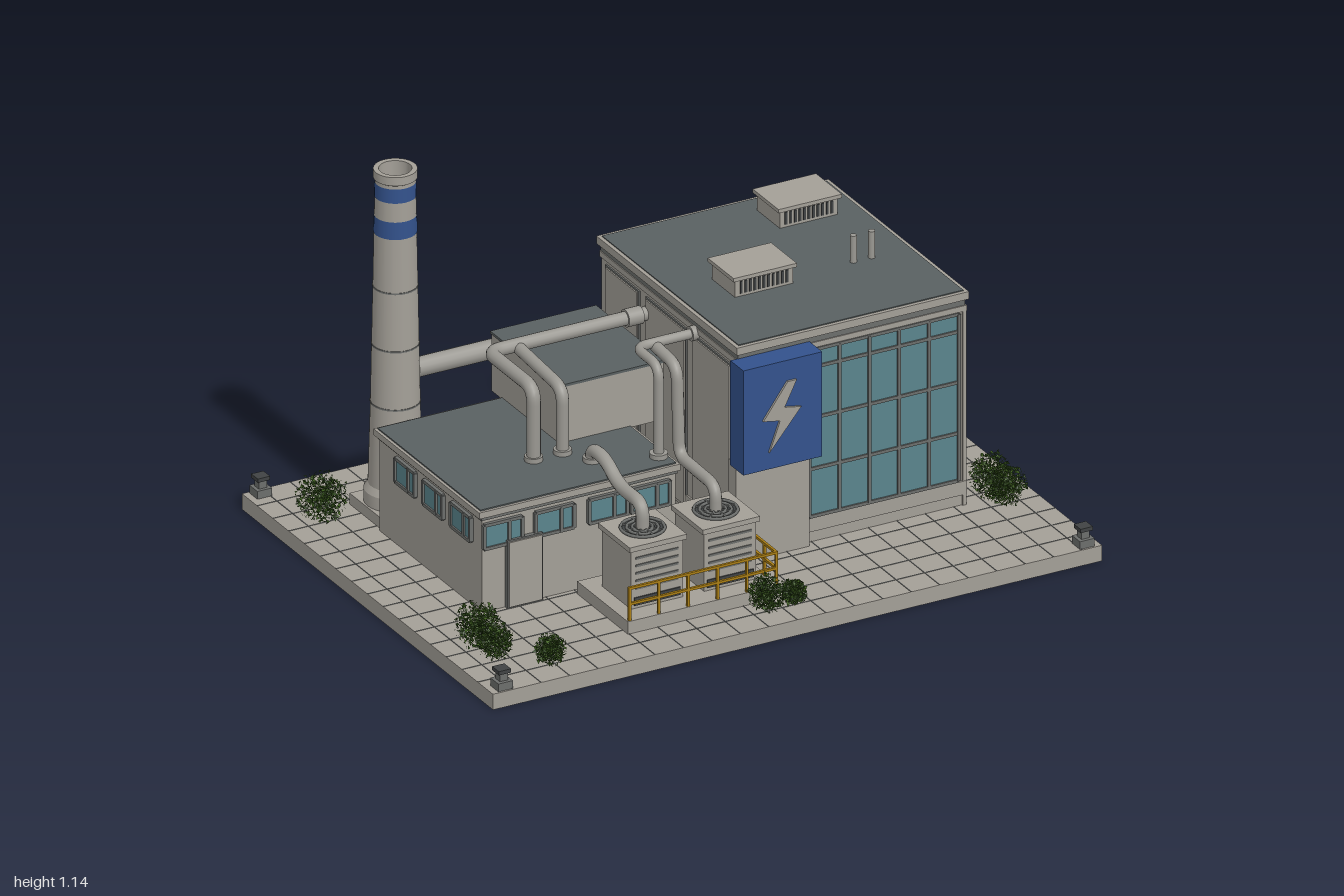
import * as THREE from 'three';
import { toCreasedNormals } from 'three/addons/utils/BufferGeometryUtils.js';

const mat = (name, color, side = THREE.FrontSide) => {
  const m = new THREE.MeshStandardMaterial({ color, side });
  m.name = name;
  return m;
};

export function createModel() {
  const root = new THREE.Group();
  root.name = 'powerPlant';
  const concrete = mat('concrete', 0xa39f97);
  const roofGrey = mat('roofGrey', 0x596061);
  const glass = mat('glass', 0x5a848c);
  const frame = mat('frameGrey', 0x6c6e6c);
  const dark = mat('darkMetal', 0x404344);
  const blue = mat('blue', 0x33528c);
  const pipeGrey = mat('pipeGrey', 0x9a9892);
  const yellow = mat('railYellow', 0xa97d14);
  const leafA = mat('leafGreen', 0x416320, THREE.DoubleSide);
  const leafB = mat('leafDark', 0x2c4717, THREE.DoubleSide);

  const add = (name, geo, m, parent = root) => {
    const mesh = new THREE.Mesh(geo, m);
    mesh.name = name;
    parent.add(mesh);
    return mesh;
  };
  // box given by its min and max on each axis
  const box = (name, m, x0, x1, y0, y1, z0, z1, parent = root) => {
    const b = add(name, new THREE.BoxGeometry(x1 - x0, y1 - y0, z1 - z0), m, parent);
    b.position.set((x0 + x1) / 2, (y0 + y1) / 2, (z0 + z1) / 2);
    return b;
  };
  const cyl = (name, m, x, y0, y1, z, r, rTop = r, open = false) => {
    const c = add(name, new THREE.CylinderGeometry(rTop, r, y1 - y0, 24, 1, open), m);
    c.position.set(x, (y0 + y1) / 2, z);
    return c;
  };
  // pipe along corner points with rounded bends
  const pipe = (name, r, pts, bend = 0.045) => {
    const p = pts.map(a => new THREE.Vector3(...a));
    const path = new THREE.CurvePath();
    let from = p[0];
    for (let i = 1; i < p.length - 1; i++) {
      const toward = q => p[i].clone().add(q.clone().sub(p[i]).setLength(Math.min(bend, q.distanceTo(p[i]) * 0.48)));
      const a = toward(p[i - 1]), b = toward(p[i + 1]);
      path.add(new THREE.LineCurve3(from, a));
      path.add(new THREE.QuadraticBezierCurve3(a, p[i], b));
      from = b;
    }
    path.add(new THREE.LineCurve3(from, p[p.length - 1]));
    add(name, new THREE.TubeGeometry(path, 90, r, 14), pipeGrey);
  };
  // glazing facing +z, with mullions at the given local positions
  const glazing = (name, w, xs, ys, x, z, turn) => {
    const g = new THREE.Group();
    g.name = name;
    const y0 = ys[0], y1 = ys[ys.length - 1];
    box('glassPane', glass, -w / 2, w / 2, y0, y1, 0, 0.006, g);
    for (const mx of xs) box('mullion', frame, mx - 0.005, mx + 0.005, y0, y1, 0, 0.012, g);
    for (const my of ys) box('transom', frame, -w / 2, w / 2, my - 0.005, my + 0.005, 0, 0.011, g);
    g.position.set(x, 0, z);
    g.rotation.y = turn;
    root.add(g);
  };
  const spread = (w, n) => Array.from({ length: n + 1 }, (_, i) => -w / 2 + w * i / n);

  // paved base
  box('base', concrete, -1, 1, 0, 0.05, -0.745, 0.745);
  for (let i = -10; i <= 10; i++) box('pavingJoint', frame, i * 0.0935 - 0.0015, i * 0.0935 + 0.0015, 0.05, 0.0515, -0.745, 0.745);
  for (let i = -7; i <= 7; i++) box('pavingJoint', frame, -1, 1, 0.05, 0.0513, i * 0.0935 - 0.0015, i * 0.0935 + 0.0015);
  for (const x of [-0.955, 0.955]) for (const z of [-0.715, 0.715]) {
    box('cornerPostFoot', frame, x - 0.024, x + 0.024, 0.05, 0.075, z - 0.024, z + 0.024);
    box('cornerPost', frame, x - 0.013, x + 0.013, 0.075, 0.1, z - 0.013, z + 0.013);
    box('cornerPostCap', dark, x - 0.02, x + 0.02, 0.1, 0.112, z - 0.02, z + 0.02);
  }

  // main hall
  box('hallWalls', concrete, 0.04, 0.78, 0.05, 0.7, -0.49, 0.32);
  box('hallPlinth', concrete, 0.035, 0.787, 0.085, 0.128, -0.495, 0.327);
  box('hallBand', concrete, 0.035, 0.787, 0.672, 0.69, -0.495, 0.327);
  box('hallBandShadowGap', frame, 0.038, 0.783, 0.69, 0.715, -0.493, 0.324);
  box('hallParapet', concrete, 0.028, 0.79, 0.712, 0.736, -0.5, 0.335);
  box('hallRoof', roofGrey, 0.04, 0.778, 0.73, 0.739, -0.488, 0.323);
  for (const z of [-0.485, 0.31]) box('cornerPilaster', concrete, 0.775, 0.787, 0.05, 0.69, z - 0.012, z + 0.015);
  const rows = [0.135, 0.287, 0.45, 0.612, 0.668];
  glazing('frontGlazing', 0.49, spread(0.49, 5), rows, 0.515, 0.32, 0);
  glazing('rightGlazing', 0.765, spread(0.765, 6), rows, 0.78, -0.078, Math.PI / 2);
  for (const x of [0.64, 0.3]) glazing('backGlazing', 0.23, [-0.115, 0.03, 0.115], rows, x, -0.49, Math.PI);
  box('backPier', concrete, 0.43, 0.515, 0.05, 0.69, -0.5, -0.48);
  box('backDuctFrame', frame, 0.06, 0.165, 0.05, 0.69, -0.505, -0.48);
  box('backDuct', concrete, 0.068, 0.157, 0.05, 0.692, -0.515, -0.48);
  for (const [z0, z1] of [[-0.46, -0.26], [-0.22, 0.02], [0.06, 0.29]]) {
    box('sidePanelEdge', frame, 0.035, 0.04, 0.09, 0.66, z0, z1);
    box('sidePanel', concrete, 0.031, 0.04, 0.096, 0.654, z0 + 0.007, z1 - 0.007);
  }

  // entrance pier and blue sign
  box('frontPier', concrete, 0.02, 0.262, 0.05, 0.37, 0.3, 0.343);
  box('sign', blue, 0.013, 0.272, 0.36, 0.695, 0.322, 0.4);
  const bolt = new THREE.Shape([[0.155, 0.63], [0.075, 0.52], [0.13, 0.51], [0.095, 0.415], [0.2, 0.54], [0.145, 0.55], [0.185, 0.63]]
    .map(p => new THREE.Vector2(...p)));
  add('boltSymbol', new THREE.ExtrudeGeometry(bolt, { depth: 0.008, bevelEnabled: false }), concrete).position.z = 0.399;

  // roof units and vents
  for (const [x, z] of [[0.275, -0.02], [0.605, -0.35]]) {
    box('roofUnit', concrete, x - 0.095, x + 0.095, 0.738, 0.795, z - 0.068, z + 0.068);
    box('roofUnitLid', concrete, x - 0.104, x + 0.104, 0.793, 0.805, z - 0.077, z + 0.077);
    for (let i = -5; i <= 5; i++) box('louvreSlot', dark, x + i * 0.015 - 0.004, x + i * 0.015 + 0.004, 0.748, 0.787, z - 0.071, z + 0.071);
  }
  for (const x of [0.59, 0.65]) cyl('roofVent', pipeGrey, x, 0.738, 0.825, 0.01, 0.01);

  // low building
  box('lowWalls', concrete, -0.77, -0.135, 0.05, 0.36, -0.345, 0.265);
  box('lowBand', frame, -0.775, -0.13, 0.345, 0.356, -0.348, 0.269);
  box('lowParapet', concrete, -0.785, -0.125, 0.356, 0.376, -0.353, 0.275);
  box('lowRoof', roofGrey, -0.776, -0.134, 0.37, 0.38, -0.344, 0.266);
  const small = [0.255, 0.33];
  for (const x of [-0.705, -0.535, -0.36, -0.22]) glazing('lowFrontWindow', 0.125, [-0.0625, 0.02, 0.0625], small, x, 0.265, 0);
  for (const z of [-0.18, -0.015, 0.15]) glazing('lowSideWindow', 0.115, [-0.0575, 0.02, 0.0575], small, -0.77, z, -Math.PI / 2);
  box('doorFrame', frame, -0.695, -0.578, 0.05, 0.267, 0.26, 0.279);
  box('door', concrete, -0.69, -0.583, 0.055, 0.262, 0.26, 0.284);

  // raised duct room
  box('ductRoom', concrete, -0.368, -0.026, 0.375, 0.558, -0.406, -0.004);
  box('ductRoomRoof', roofGrey, -0.371, -0.023, 0.558, 0.566, -0.409, -0.001);

  // chimney
  const cx = -0.665, cz = -0.44;
  box('chimneyPad', concrete, cx - 0.097, cx + 0.097, 0.05, 0.085, cz - 0.097, cz + 0.097);
  const profile = [[0.092, 0.08], [0.092, 0.125], [0.08, 0.145], [0.073, 0.38], [0.059, 1.115], [0.064, 1.118], [0.064, 1.145], [0.048, 1.145], [0.047, 1.06]]
    .map(p => new THREE.Vector2(...p));
  add('chimney', toCreasedNormals(new THREE.LatheGeometry(profile, 32), 0.5), concrete).position.set(cx, 0, cz);
  cyl('chimneyMouth', dark, cx, 1.05, 1.075, cz, 0.049);
  const rAt = y => 0.073 - (y - 0.38) * 0.01905;
  for (const [y0, y1] of [[0.945, 1.0], [1.06, 1.105]]) cyl('chimneyBand', blue, cx, y0, y1, cz, rAt(y0) + 0.0015, rAt(y1) + 0.0015, true);
  for (const y of [0.4, 0.585, 0.77]) cyl('chimneySeam', frame, cx, y, y + 0.005, cz, rAt(y) + 0.0015);

  // pipework
  pipe('flueDuct', 0.03, [[-0.63, 0.49, cz], [-0.275, 0.49, cz], [-0.275, 0.49, -0.4]], 0.05);
  pipe('upperPipe', 0.021, [[0.045, 0.61, -0.215], [-0.485, 0.61, -0.215], [-0.485, 0.61, 0.055], [-0.485, 0.37, 0.055]]);
  pipe('upperBranch', 0.019, [[-0.39, 0.605, -0.215], [-0.39, 0.585, 0.055], [-0.39, 0.37, 0.055]]);
  pipe('sidePipe', 0.015, [[0.045, 0.67, 0.07], [-0.16, 0.67, 0.07], [-0.16, 0.67, 0.21], [-0.16, 0.37, 0.21]]);
  pipe('coolerPipeRight', 0.018, [[-0.095, 0.66, 0.07], [-0.095, 0.65, 0.2], [-0.095, 0.37, 0.215], [-0.1, 0.37, 0.44], [-0.1, 0.28, 0.44]]);
  pipe('coolerPipeLeft', 0.02, [[-0.34, 0.28, 0.44], [-0.34, 0.37, 0.44], [-0.34, 0.37, 0.3], [-0.34, 0.42, 0.22], [-0.34, 0.42, 0.14], [-0.34, 0.37, 0.14]]);
  cyl('pipeFlange', pipeGrey, -0.01, 0.585, 0.635, -0.215, 0.027).rotation.z = Math.PI / 2;
  cyl('pipeFlange', pipeGrey, 0.03, 0.66, 0.68, 0.07, 0.022).rotation.z = Math.PI / 2;
  for (const [x, z] of [[-0.485, 0.055], [-0.39, 0.055], [-0.16, 0.21], [-0.34, 0.14]]) cyl('pipeCollar', pipeGrey, x, 0.38, 0.395, z, 0.027);

  // coolers on their pad
  box('coolerPad', concrete, -0.472, 0.025, 0.05, 0.09, 0.29, 0.592);
  for (const x of [-0.34, -0.1]) {
    box('cooler', concrete, x - 0.085, x + 0.085, 0.09, 0.28, 0.352, 0.525);
    box('coolerTop', concrete, x - 0.094, x + 0.094, 0.276, 0.292, 0.344, 0.534);
    box('coolerGrille', dark, x - 0.076, x + 0.076, 0.1, 0.125, 0.35, 0.529);
    for (let i = 0; i < 5; i++) box('coolerSlot', frame, x - 0.07, x + 0.07, 0.15 + i * 0.024, 0.157 + i * 0.024, 0.349, 0.528);
    cyl('fanWell', dark, x, 0.29, 0.295, 0.44, 0.062);
    for (const r of [0.064, 0.046, 0.03]) {
      const ring = add('fanRing', new THREE.TorusGeometry(r, 0.005, 6, 28), frame);
      ring.position.set(x, 0.297, 0.44);
      ring.rotation.x = Math.PI / 2;
    }
    for (let i = 0; i < 4; i++) {
      const spoke = add('fanSpoke', new THREE.BoxGeometry(0.124, 0.004, 0.006), frame);
      spoke.position.set(x, 0.298, 0.44);
      spoke.rotation.y = i * Math.PI / 4;
    }
  }

  // safety railing
  for (const y of [0.143, 0.193]) {
    box('railFront', yellow, -0.468, 0.022, y - 0.004, y + 0.004, 0.582, 0.59);
    box('railSide', yellow, 0.014, 0.022, y - 0.004, y + 0.004, 0.44, 0.59);
  }
  for (let i = 0; i <= 5; i++) box('railPost', yellow, -0.468 + i * 0.0964, -0.46 + i * 0.0964, 0.09, 0.195, 0.582, 0.59);
  for (const z of [0.44, 0.513]) box('railPost', yellow, 0.014, 0.022, 0.09, 0.195, z, z + 0.008);

  // shrubs of small scattered leaves
  let seed = 7;
  const rnd = () => (seed = (seed * 16807) % 2147483647) / 2147483647;
  const shrub = (x, z, r, h) => [leafA, leafB].forEach(m => {
    const v = [];
    for (let i = 0; i < 480; i++) {
      const a = rnd() * Math.PI * 2, c = rnd() * 2 - 1, s = Math.sqrt(1 - c * c);
      const d = Math.pow(rnd(), 0.55);
      const p = [s * Math.cos(a) * r * d, h / 2 + c * d * h / 2, s * Math.sin(a) * r * d];
      for (let k = 0; k < 3; k++) for (const q of p) v.push(q + (rnd() - 0.5) * 0.017);
    }
    const g = new THREE.BufferGeometry();
    g.setAttribute('position', new THREE.Float32BufferAttribute(v, 3));
    g.computeVertexNormals();
    add('shrub', g, m).position.set(x, 0.056, z);
  });
  [[-0.89, -0.47, 0.077, 0.155], [0.88, -0.58, 0.063, 0.125], [0.865, 0.33, 0.063, 0.145], [0.885, 0.385, 0.06, 0.12], [-0.895, 0.47, 0.072, 0.145],
    [-0.885, 0.55, 0.055, 0.11], [-0.765, 0.66, 0.046, 0.09], [-0.055, 0.66, 0.054, 0.11], [0.035, 0.655, 0.04, 0.075]]
    .forEach(s => shrub(...s));

  return root;
}
